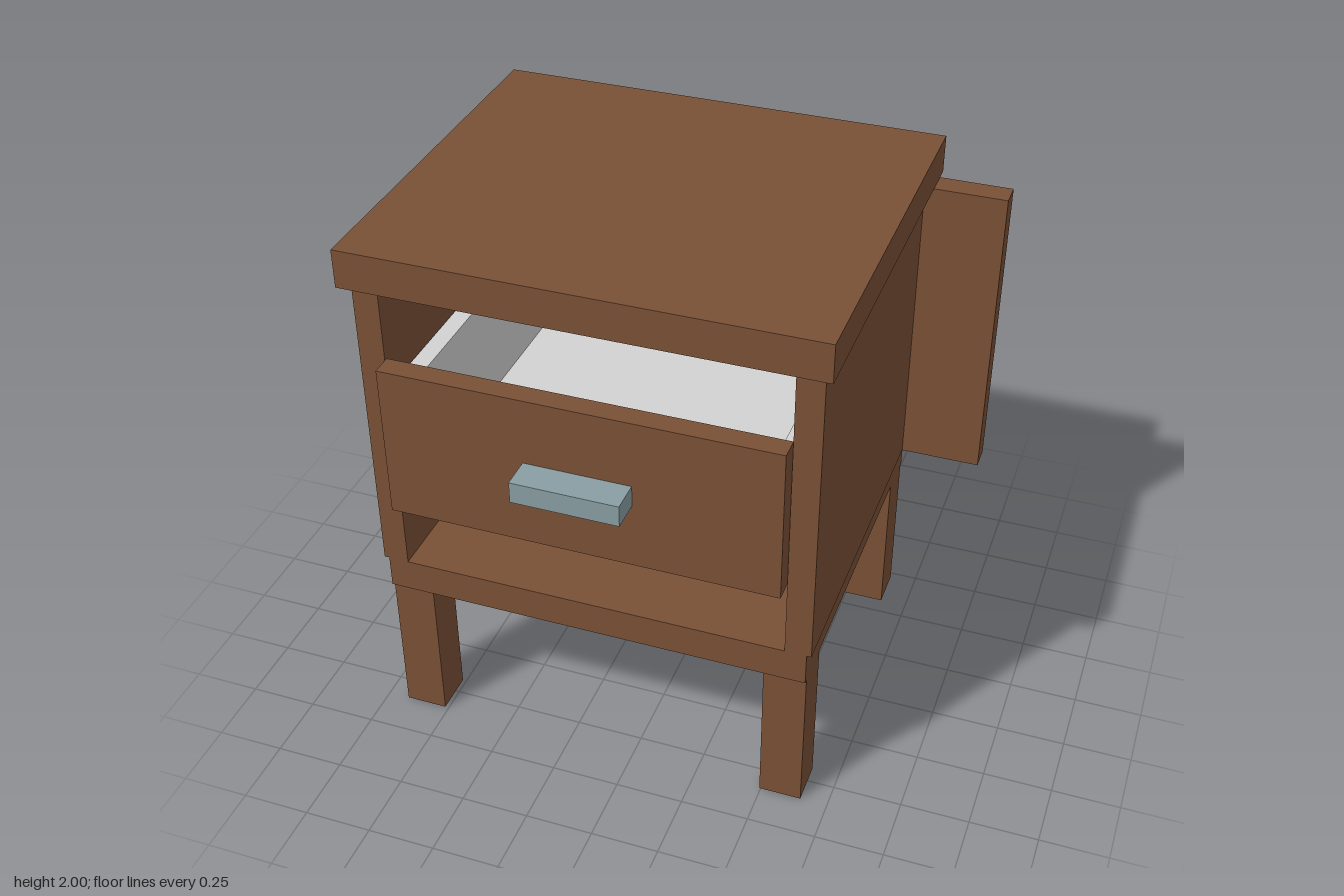
import * as THREE from 'three';

export function createModel() {
  const model = new THREE.Group();
  model.name = 'nightstand';

  const wood = new THREE.MeshStandardMaterial({ name: 'brown wood', color: 0x7a5036 });
  const liner = new THREE.MeshStandardMaterial({ name: 'light grey', color: 0xd2d2d2 });
  const metal = new THREE.MeshStandardMaterial({ name: 'blue grey metal', color: 0x8a9ea3 });

  // Box given by its extents along each axis
  function box(parent, name, material, [x0, x1], [y0, y1], [z0, z1]) {
    const mesh = new THREE.Mesh(new THREE.BoxGeometry(x1 - x0, y1 - y0, z1 - z0), material);
    mesh.position.set((x0 + x1) / 2, (y0 + y1) / 2, (z0 + z1) / 2);
    mesh.name = name;
    parent.add(mesh);
  }

  // Carcass
  box(model, 'top', wood, [-0.97, 0.7], [1.86, 2], [-0.79, 0.655]);
  box(model, 'base', wood, [-0.92, 0.65], [0.585, 0.71], [-0.74, 0.61]);
  box(model, 'rightSide', wood, [-0.938, -0.845], [0.71, 1.86], [-0.74, 0.61]);
  box(model, 'leftSide', wood, [0.572, 0.667], [0.71, 1.86], [-0.74, 0.61]);

  // Back panel, shifted out past the left side
  box(model, 'backPanel', wood, [-0.445, 0.965], [0.71, 1.86], [-0.743, -0.65]);

  // Legs
  for (const x of [-0.92, 0.495])
    for (const z of [-0.725, 0.435])
      box(model, 'leg', wood, [x, x + 0.155], [0, 0.585], [z, z + 0.158]);

  // Drawer: front, open tray and handle
  const drawer = new THREE.Group();
  drawer.name = 'drawer';
  model.add(drawer);
  box(drawer, 'drawerFront', wood, [-0.843, 0.57], [1, 1.58], [0.6, 0.68]);
  box(drawer, 'drawerFloor', liner, [-0.775, 0.502], [1.02, 1.06], [-0.595, 0.6]);
  box(drawer, 'drawerRightWall', liner, [-0.84, -0.775], [1.02, 1.47], [-0.64, 0.6]);
  box(drawer, 'drawerLeftWall', liner, [0.502, 0.567], [1.02, 1.47], [-0.64, 0.6]);
  box(drawer, 'drawerBack', liner, [-0.775, 0.502], [1.02, 1.47], [-0.64, -0.595]);
  box(drawer, 'handle', metal, [-0.33, 0.055], [1.25, 1.33], [0.68, 0.795]);

  return model;
}
